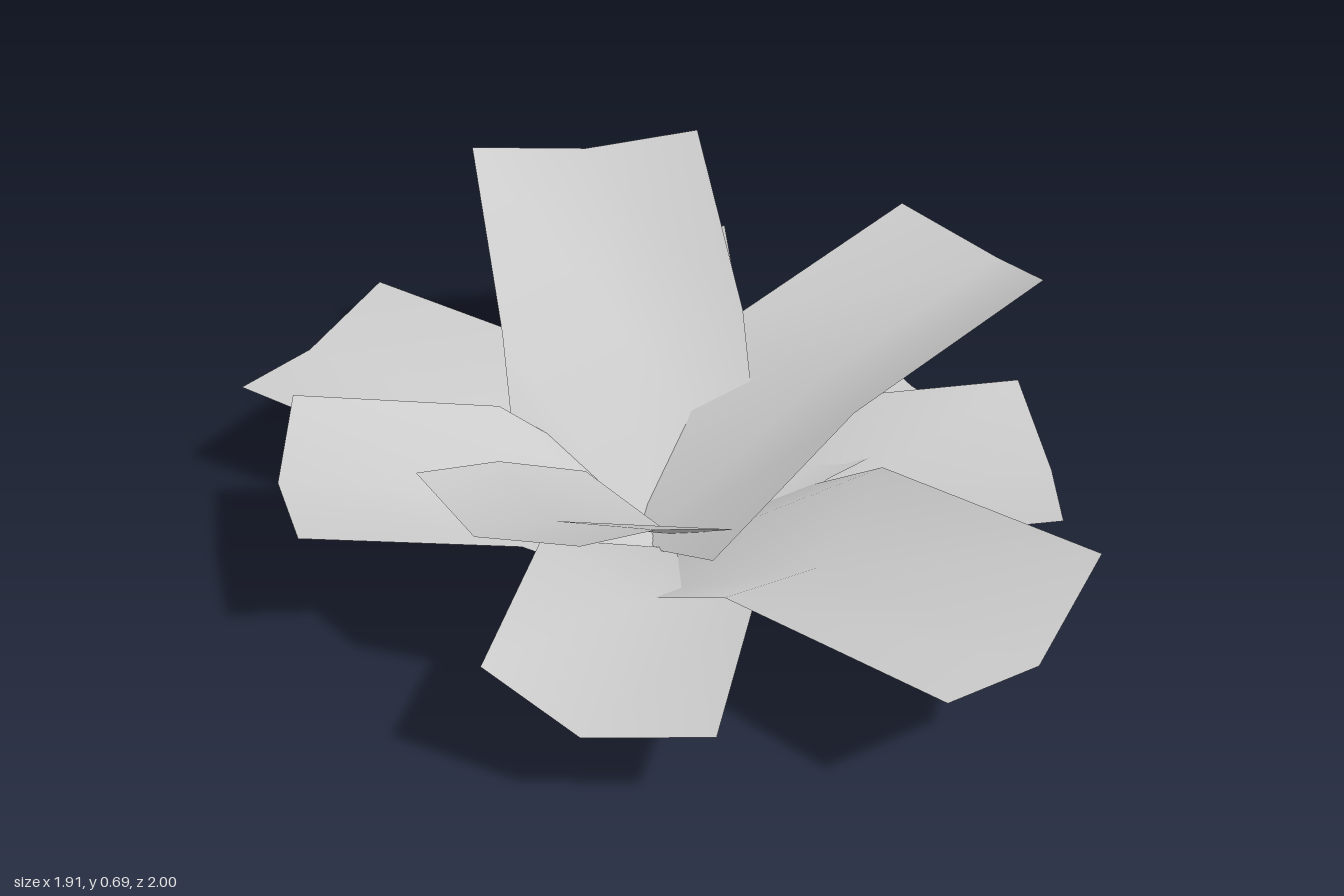
import * as THREE from 'three';

const material = new THREE.MeshStandardMaterial({ color: 0xcccccc, side: THREE.DoubleSide });

// One leaf: a creased card of three rows (tip, bend, base) with a side, midrib and side point each.
// tip: three points; bend: [run, drop] back from the tip; base: [run, side height, midrib height, extra midrib run]
function makeLeaf({ name, tip, bend, base }) {
  const [a, m, b] = tip.map((p) => new THREE.Vector3(...p));
  // horizontal outward direction, square to the tip edge
  const out = new THREE.Vector3(b.z - a.z, 0, a.x - b.x).normalize();
  const centre = a.clone().add(b);
  if (out.dot(centre) < 0) out.negate();

  const rows = [
    [a, m, b],
    [a, m, b].map((p) => {
      const q = p.clone().addScaledVector(out, -bend[0]);
      q.y -= bend[1];
      return q;
    }),
    [a, m, b].map((p, i) => {
      const q = p.clone().addScaledVector(out, -base[0] - (i === 1 ? base[3] : 0));
      q.y = i === 1 ? base[2] : base[1];
      return q;
    }),
  ];

  // wind the faces so that their fronts look up
  const across = b.clone().sub(a);
  const up = new THREE.Vector3().crossVectors(across, out).y > 0;
  const index = [];
  for (let r = 0; r < 2; r++) {
    for (let c = 0; c < 2; c++) {
      const p = r * 3 + c;
      const quad = up ? [p, p + 3, p + 4, p + 1] : [p, p + 1, p + 4, p + 3];
      index.push(quad[0], quad[1], quad[2], quad[0], quad[2], quad[3]);
    }
  }
  const geometry = new THREE.BufferGeometry().setFromPoints(rows.flat());
  geometry.setIndex(index);
  geometry.computeVertexNormals();
  const mesh = new THREE.Mesh(geometry, material);
  mesh.name = name;
  return mesh;
}

const leaves = [
  // upper ring
  { name: 'backUpperLeaf', tip: [[-0.32, 0.69, -0.93], [-0.01, 0.63, -1.0], [0.28, 0.69, -0.93]],
    bend: [0.57, 0.235], base: [0.83, 0.07, 0.0, 0.17] },
  { name: 'leftUpperLeaf', tip: [[0.95, 0.61, -0.1], [0.93, 0.54, -0.36], [0.76, 0.58, -0.62]],
    bend: [0.54, 0.2], base: [0.92, 0.13, 0.03, 0.12] },
  { name: 'frontRightUpperLeaf', tip: [[-0.58, 0.535, 0.33], [-0.48, 0.485, 0.51], [-0.28, 0.52, 0.63]],
    bend: [0.27, 0.12], base: [0.59, 0.21, 0.06, 0.13] },
  // lower ring
  { name: 'frontLeftLeaf', tip: [[0.82, 0.38, 0.67], [0.62, 0.27, 0.87], [0.38, 0.32, 1.0]],
    bend: [0.57, 0.04], base: [0.91, 0.1, 0.04, 0.12] },
  { name: 'frontLeaf', tip: [[-0.5, 0.335, 0.74], [-0.32, 0.215, 0.85], [-0.06, 0.235, 0.92]],
    bend: [0.48, 0.03], base: [0.79, 0.08, 0.04, 0.1] },
  { name: 'rightLeaf', tip: [[-0.83, 0.42, -0.22], [-0.88, 0.325, 0], [-0.84, 0.35, 0.26]],
    bend: [0.48, 0.08], base: [0.78, 0.1, 0.04, 0.1] },
  { name: 'backRightLeaf', tip: [[-0.96, 0.3, -0.48], [-0.79, 0.24, -0.74], [-0.59, 0.33, -0.91]],
    bend: [0.58, 0.04], base: [0.97, 0.08, 0.04, 0.1] },
  { name: 'backLeaf', tip: [[-0.16, 0.345, -0.99], [0.1, 0.31, -1.0], [0.36, 0.4, -0.93]],
    bend: [0.53, 0.06], base: [0.85, 0.09, 0.04, 0.12] },
  { name: 'leftLeaf', tip: [[0.92, 0.33, -0.11], [0.93, 0.22, 0.13], [0.87, 0.24, 0.36]],
    bend: [0.48, 0.03], base: [0.78, 0.08, 0.04, 0.1] },
  { name: 'backLeftLeaf', tip: [[0.59, 0.31, -0.49], [0.72, 0.21, -0.32], [0.77, 0.25, -0.11]],
    bend: [0.42, 0.03], base: [0.68, 0.08, 0.04, 0.1] },
];

export function createModel() {
  const group = new THREE.Group();
  group.name = 'leafRosette';
  leaves.forEach((leaf) => group.add(makeLeaf(leaf)));
  return group;
}
